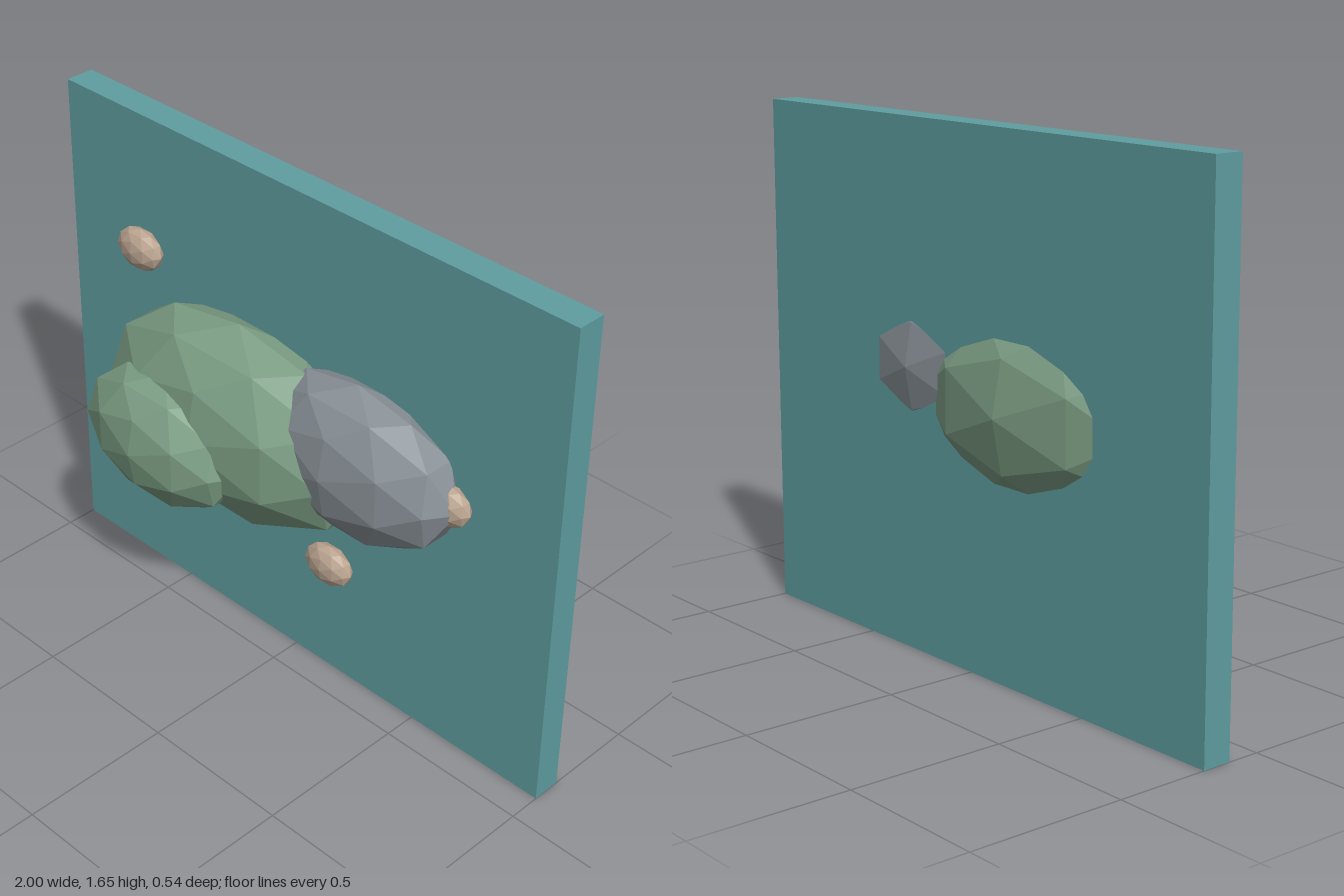
import * as THREE from 'three';

const material = (color) => new THREE.MeshStandardMaterial({ color, flatShading: true });

// Faceted ellipsoid: an icosphere stretched to the given radii
function rock(name, mat, position, radii) {
  const geometry = new THREE.IcosahedronGeometry(1, 1).scale(...radii);
  const mesh = new THREE.Mesh(geometry, mat);
  mesh.name = name;
  mesh.position.set(...position);
  return mesh;
}

export function createModel() {
  const model = new THREE.Group();
  model.name = 'wallRelief';
  const green = material(0x7d9f85);
  const grey = material(0x889096);
  const tan = material(0xbca591);

  // Upright backing panel
  const panel = new THREE.Mesh(new THREE.BoxGeometry(2, 1.65, 0.095), material(0x5f9ea0));
  panel.name = 'backPanel';
  panel.position.set(0, 0.825, -0.152);
  model.add(panel);

  // Large boulders, the back two poking through the panel
  model.add(
    rock('largeGreenBoulder', green, [-0.19, 0.827, -0.045], [0.54, 0.328, 0.225]),
    rock('greyBoulder', grey, [0.28, 0.897, -0.062], [0.39, 0.257, 0.164]),
    rock('frontGreenBoulder', green, [-0.36, 0.745, 0.107], [0.32, 0.223, 0.16]),
  );

  // Scattered pebbles
  for (const [x, y] of [[-0.663, 1.203], [0.16, 0.427], [0.61, 0.9]]) {
    model.add(rock('pebble', tan, [x, y, -0.08], [0.093, 0.07, 0.045]));
  }
  return model;
}
